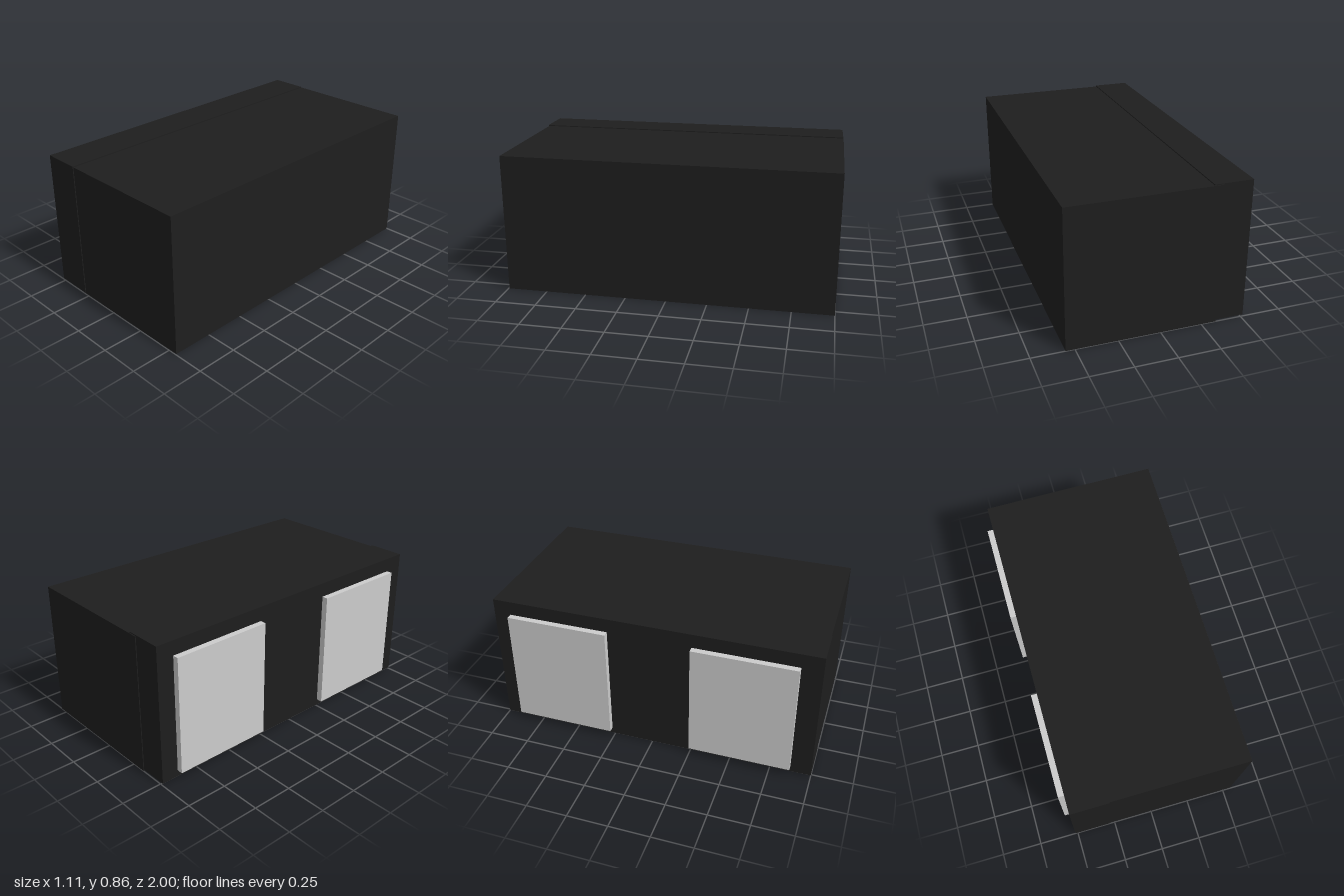
import * as THREE from 'three';

const dark = new THREE.MeshStandardMaterial({ color: 0x1e1e1e });
const grey = new THREE.MeshStandardMaterial({ color: 0xcccccc });

// Box given by its lower and upper limits on each axis
function block(name, [x0, x1], [y0, y1], [z0, z1], material) {
  const mesh = new THREE.Mesh(new THREE.BoxGeometry(x1 - x0, y1 - y0, z1 - z0), material);
  mesh.position.set((x0 + x1) / 2, (y0 + y1) / 2, (z0 + z1) / 2);
  mesh.name = name;
  return mesh;
}

export function createModel() {
  const model = new THREE.Group();
  model.name = 'cabinet';

  // Main body, with a slightly raised and shifted block overlapping its side
  model.add(block('mainBody', [-0.34, 0.553], [0, 0.852], [-1, 0.995], dark));
  model.add(block('sideBody', [-0.516, -0.285], [0.008, 0.858], [-0.995, 1], dark));

  // Two raised panels on the side
  for (const [name, z] of [['rearPanel', -0.89], ['frontPanel', 0.25]]) {
    model.add(block(name, [-0.553, -0.51], [0.047, 0.77], [z, z + 0.625], grey));
  }
  return model;
}
